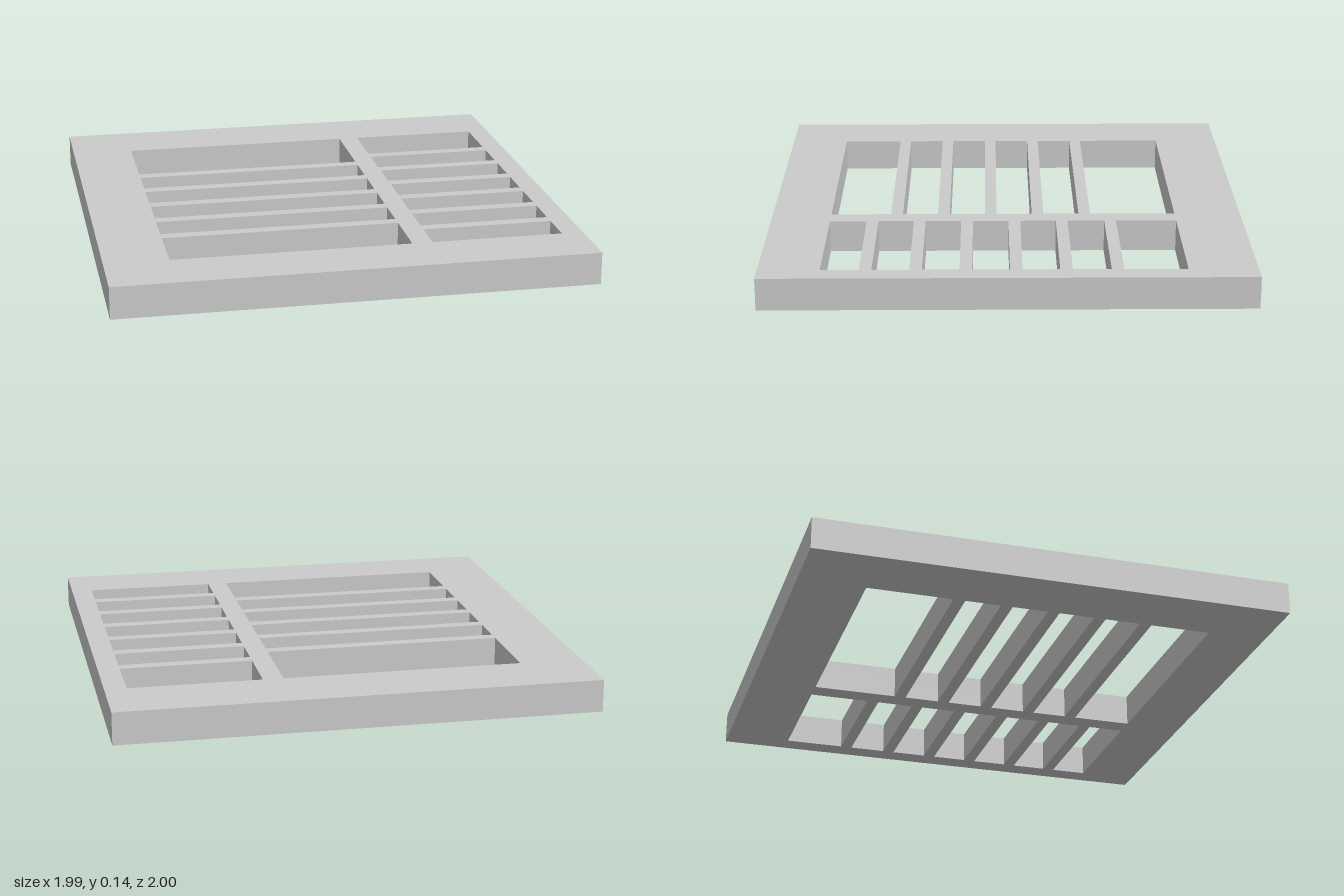
import * as THREE from 'three';

const HEIGHT = 0.135;
const BAR = 0.05;

// Window openings with the z centres of the slats crossing them
const WINDOWS = [
  { name: 'wideSlat', x0: -0.73, x1: 0.265, slats: [-0.335, -0.135, 0.065, 0.265, 0.465] },
  { name: 'narrowSlat', x0: 0.35, x1: 0.9, slats: [-0.44, -0.235, -0.035, 0.165, 0.365, 0.565] },
];
const Z0 = -0.72, Z1 = 0.745;

function rect(Type, x0, x1, z0, z1) {
  return new Type([
    new THREE.Vector2(x0, z0), new THREE.Vector2(x1, z0),
    new THREE.Vector2(x1, z1), new THREE.Vector2(x0, z1),
  ]);
}

export function createModel() {
  const group = new THREE.Group();
  group.name = 'slattedPanel';
  const material = new THREE.MeshStandardMaterial({ color: 0xcccccc });

  // Flat frame with two window openings, extruded down from its top face
  const outline = rect(THREE.Shape, -0.995, 0.99, -1, 0.995);
  for (const w of WINDOWS) outline.holes.push(rect(THREE.Path, w.x0, w.x1, Z0, Z1));
  const frameGeometry = new THREE.ExtrudeGeometry(outline, { depth: HEIGHT, bevelEnabled: false });
  frameGeometry.rotateX(Math.PI / 2).translate(0, HEIGHT, 0);
  const frame = new THREE.Mesh(frameGeometry, material);
  frame.name = 'frame';
  group.add(frame);

  // Upright slats across each window
  for (const w of WINDOWS) {
    const geometry = new THREE.BoxGeometry(w.x1 - w.x0, HEIGHT, BAR);
    w.slats.forEach((z, i) => {
      const slat = new THREE.Mesh(geometry, material);
      slat.name = `${w.name}${i + 1}`;
      slat.position.set((w.x0 + w.x1) / 2, HEIGHT / 2, z);
      group.add(slat);
    });
  }
  return group;
}
